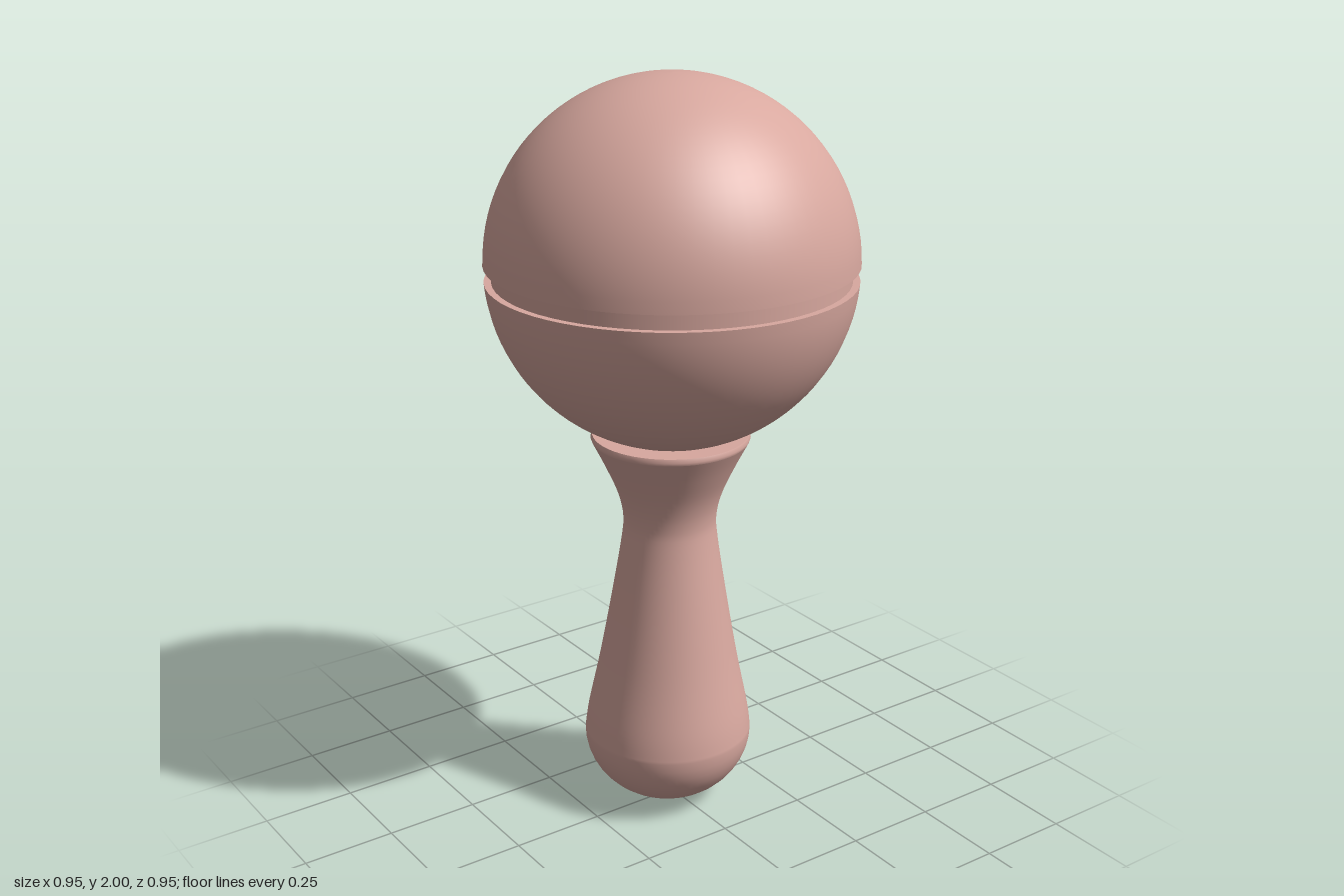
import * as THREE from 'three';

const V = (x, y) => new THREE.Vector2(x, y);
const CENTRE = 1.525, RADIUS = 0.475;
const GROOVE_LOW = 1.487, GROOVE_HIGH = 1.529, GROOVE_RADIUS = 0.455;

// Part of the ball's outline between two angles, from lower to upper
function arc(from, to, steps = 24) {
  return Array.from({ length: steps + 1 }, (_, i) => {
    const a = from + (to - from) * i / steps;
    return V(Math.max(0, Math.cos(a) * RADIUS), CENTRE + Math.sin(a) * RADIUS);
  });
}

export function createModel() {
  const model = new THREE.Group();
  model.name = 'maraca';
  const pink = new THREE.MeshStandardMaterial({ color: 0xd8a89f });
  pink.name = 'dusty pink';

  // Outlines run from bottom to top so that the faces point outwards
  function turned(name, points, parent) {
    const mesh = new THREE.Mesh(new THREE.LatheGeometry(points, 64), pink);
    mesh.name = name;
    parent.add(mesh);
    return mesh;
  }

  // Ball: two halves around a shallow groove
  const ball = new THREE.Group();
  ball.name = 'ball';
  model.add(ball);
  const lowAngle = Math.asin((GROOVE_LOW - CENTRE) / RADIUS);
  const highAngle = Math.asin((GROOVE_HIGH - CENTRE) / RADIUS);
  const lower = arc(-Math.PI / 2, lowAngle);
  const upper = arc(highAngle, Math.PI / 2);
  turned('lowerShell', lower, ball);
  turned('grooveFloor', [lower.at(-1), V(GROOVE_RADIUS, GROOVE_LOW)], ball);
  turned('grooveBand', [V(GROOVE_RADIUS, GROOVE_LOW), V(GROOVE_RADIUS, GROOVE_HIGH)], ball);
  turned('grooveCeiling', [V(GROOVE_RADIUS, GROOVE_HIGH), upper[0]], ball);
  turned('upperShell', upper, ball);

  // Handle: rounded end, narrow waist and flared collar
  const handle = new THREE.Group();
  handle.name = 'handle';
  model.add(handle);
  const end = Array.from({ length: 13 }, (_, i) => {
    const a = i / 12 * Math.PI / 2;
    return V(Math.sin(a) * 0.228, 0.2 - Math.cos(a) * 0.2);
  });
  const grip = new THREE.SplineCurve([
    V(0.228, 0.2), V(0.218, 0.27), V(0.187, 0.42), V(0.155, 0.6), V(0.128, 0.77),
    V(0.124, 0.84), V(0.14, 0.91), V(0.175, 0.99), V(0.206, 1.052),
  ]).getPoints(40);
  turned('grip', [...end, ...grip.slice(1)], handle);
  turned('collarRim', [V(0.206, 1.052), V(0.209, 1.06), V(0.205, 1.07)], handle);
  turned('collarTop', [V(0.205, 1.07), V(0, 1.066)], handle);

  // The handle leans slightly to one side towards its end
  for (const { geometry } of handle.children) {
    const p = geometry.attributes.position;
    for (let i = 0; i < p.count; i++) p.setX(i, p.getX(i) - 0.006 - 0.018 * (1 - p.getY(i) / 1.07));
  }
  return model;
}
